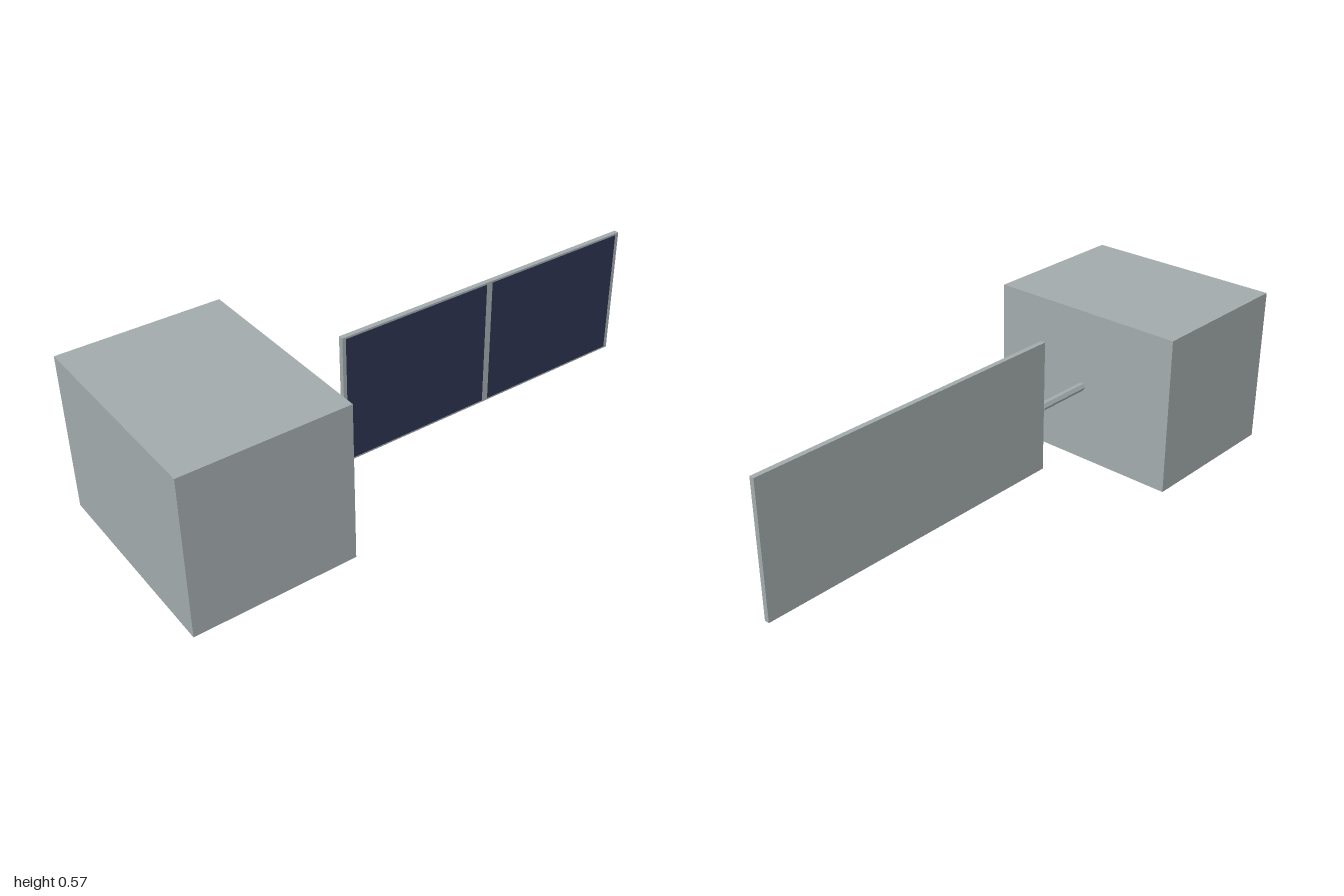
import * as THREE from 'three';

export function createModel() {
  const model = new THREE.Group();
  model.name = 'satellite';

  const metal = new THREE.MeshStandardMaterial({ color: 0xa3abad });
  metal.name = 'grey metal';
  const navy = new THREE.MeshStandardMaterial({ color: 0x2b3350 });
  navy.name = 'navy solar cell';

  const axisY = 0.286;

  function add(name, geometry, material, x, y, z) {
    const mesh = new THREE.Mesh(geometry, material);
    mesh.name = name;
    mesh.position.set(x, y, z);
    model.add(mesh);
    return mesh;
  }

  // Box body
  add('body', new THREE.BoxGeometry(0.57, 0.572, 0.744), metal, -0.715, axisY, 0);

  // Six-sided boom with flat facets, pointing along x
  const boom = new THREE.CylinderGeometry(0.015, 0.015, 0.217, 6).toNonIndexed();
  boom.computeVertexNormals();
  boom.rotateZ(Math.PI / 2);
  add('boom', boom, metal, -0.3225, axisY, 0);

  // Panel frame
  add('panelFrame', new THREE.BoxGeometry(1.214, 0.485, 0.018), metal, 0.393, 0.2875, 0);

  // Two solar cells laid on the front face
  for (const [name, side] of [['rightSolarCell', -1], ['leftSolarCell', 1]]) {
    add(name, new THREE.BoxGeometry(0.58, 0.471, 0.002), navy, 0.392 + side * 0.3025, 0.2875, 0.009);
  }

  return model;
}
